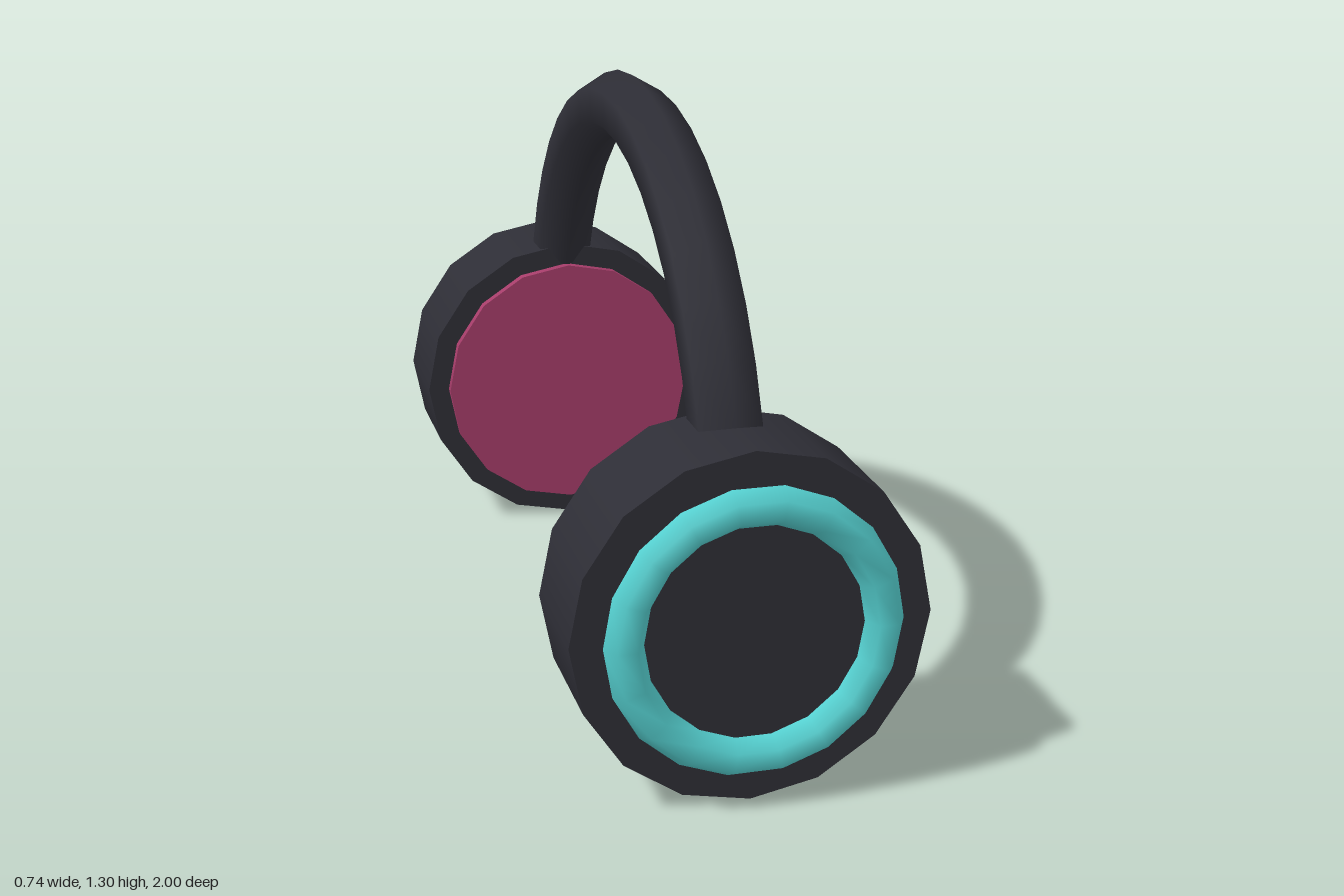
import * as THREE from 'three';

const mat = (name, color) => {
  const m = new THREE.MeshStandardMaterial({ color });
  m.name = name;
  return m;
};

export function createModel() {
  const charcoal = mat('charcoal', 0x2e2e36);
  const teal = mat('teal', 0x55d0d0);
  const berry = mat('berry', 0xa63d6a);
  charcoal.side = THREE.DoubleSide;

  const model = new THREE.Group();
  model.name = 'headphones';

  const add = (parent, name, geometry, material) => {
    const mesh = new THREE.Mesh(geometry, material);
    mesh.name = name;
    parent.add(mesh);
    return mesh;
  };
  // Disc along z between two depths
  const disc = (radius, z0, z1) =>
    new THREE.CylinderGeometry(radius, radius, z1 - z0, 16)
      .rotateX(Math.PI / 2)
      .translate(0, 0, (z0 + z1) / 2);

  // Headband: hexagonal tube bent along an arc from front to back
  const arc = 2.4;
  const band = add(model, 'headband',
    new THREE.TorusGeometry(0.8, 0.0775, 6, 16, arc)
      .rotateZ((Math.PI - arc) / 2)
      .rotateY(Math.PI / 2), charcoal);
  band.position.y = 0.4275;

  // Ear cups: shell, inner cushion and outer ring
  for (const side of ['front', 'back']) {
    const cup = new THREE.Group();
    cup.name = side + 'EarCup';
    cup.position.y = 0.372;
    if (side === 'back') cup.rotation.y = Math.PI;
    add(cup, 'shell', disc(0.372, 0.682, 0.948), charcoal);
    add(cup, 'cushion', disc(0.32, 0.658, 0.69), berry);
    add(cup, 'ring',
      new THREE.TorusGeometry(0.267, 0.041, 6, 18).translate(0, 0, 0.9645), teal);
    model.add(cup);
  }
  return model;
}
